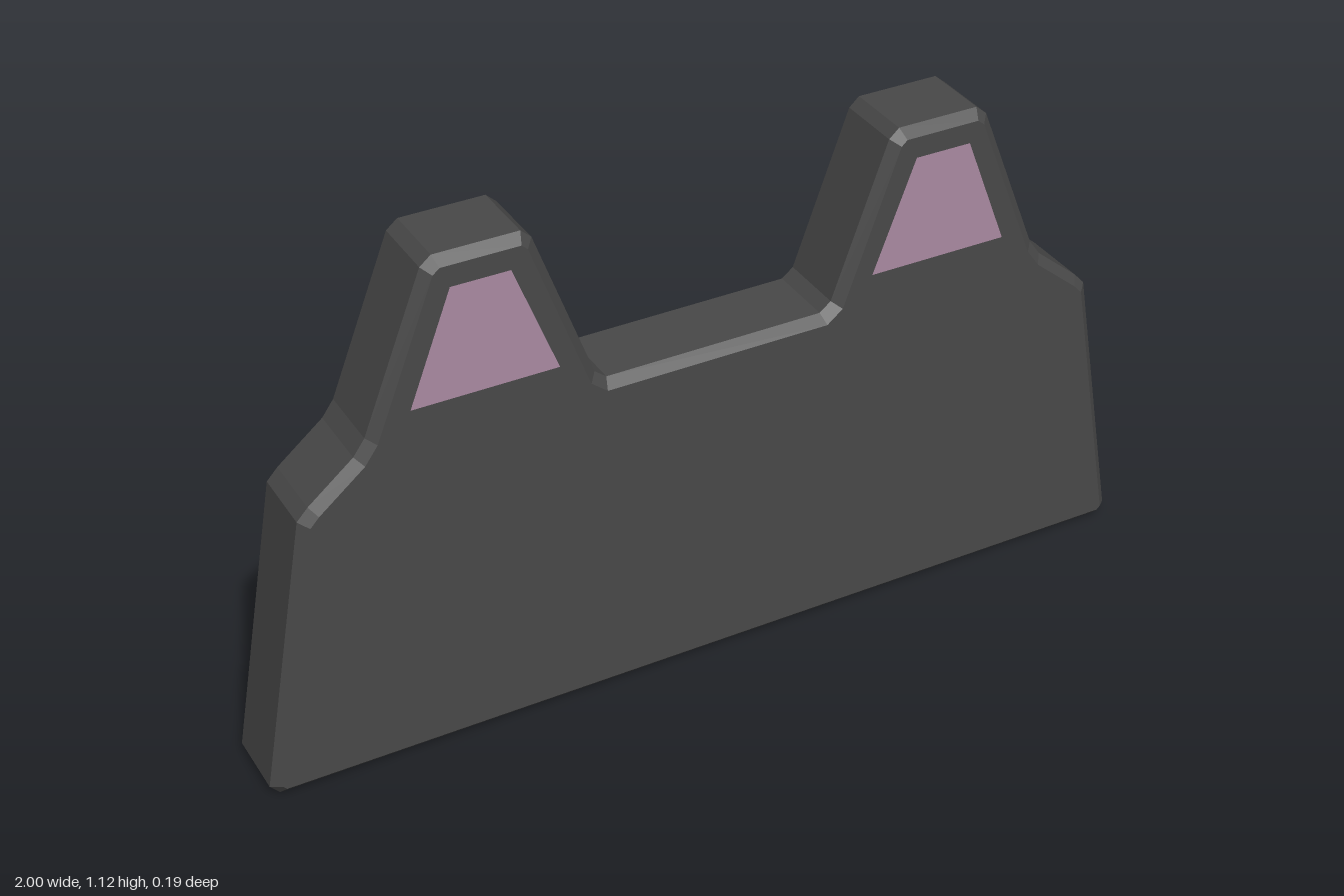
import * as THREE from 'three';

const HALF_DEPTH = 0.095;
const BEVEL = 0.02;

// Closed shape from a list of [x, y] corners
const shapeOf = (points) => new THREE.Shape(points.map(([x, y]) => new THREE.Vector2(x, y)));

export function createModel() {
  const group = new THREE.Group();
  const darkMaterial = new THREE.MeshStandardMaterial({ color: 0x484848 });
  const pinkMaterial = new THREE.MeshStandardMaterial({ color: 0xaa8aa2 });

  // Left half of the outline, bottom to middle, with chamfered corners
  const half = [
    [0.98, 0], [1, 0.022],
    [0.892, 0.63], [0.868, 0.656],
    [0.77, 0.737], [0.745, 0.772],
    [0.614, 1.105], [0.59, 1.125],
    [0.41, 1.125], [0.388, 1.105],
    [0.265, 0.77], [0.24, 0.75],
  ];
  const mirrored = half.map(([x, y]) => [-x, y]).reverse();

  // Slab body with bevelled front and back edges
  const bodyGeometry = new THREE.ExtrudeGeometry(shapeOf([...half, ...mirrored]), {
    depth: 2 * (HALF_DEPTH - BEVEL),
    bevelEnabled: true,
    bevelThickness: BEVEL,
    bevelSize: BEVEL,
    bevelOffset: -BEVEL,
    bevelSegments: 1,
  });
  bodyGeometry.translate(0, 0, BEVEL - HALF_DEPTH);
  const body = new THREE.Mesh(bodyGeometry, darkMaterial);
  body.name = 'body';
  group.add(body);

  // Coloured panel on the front of each peak
  const panelGeometry = new THREE.ShapeGeometry(
    shapeOf([[-0.155, 0.818], [0.155, 0.818], [0.062, 1.06], [-0.062, 1.06]]));
  for (const side of [1, -1]) {
    const panel = new THREE.Mesh(panelGeometry, pinkMaterial);
    panel.name = side > 0 ? 'leftPanel' : 'rightPanel';
    panel.position.set(side * 0.503, 0, HALF_DEPTH + 0.001);
    group.add(panel);
  }
  return group;
}
